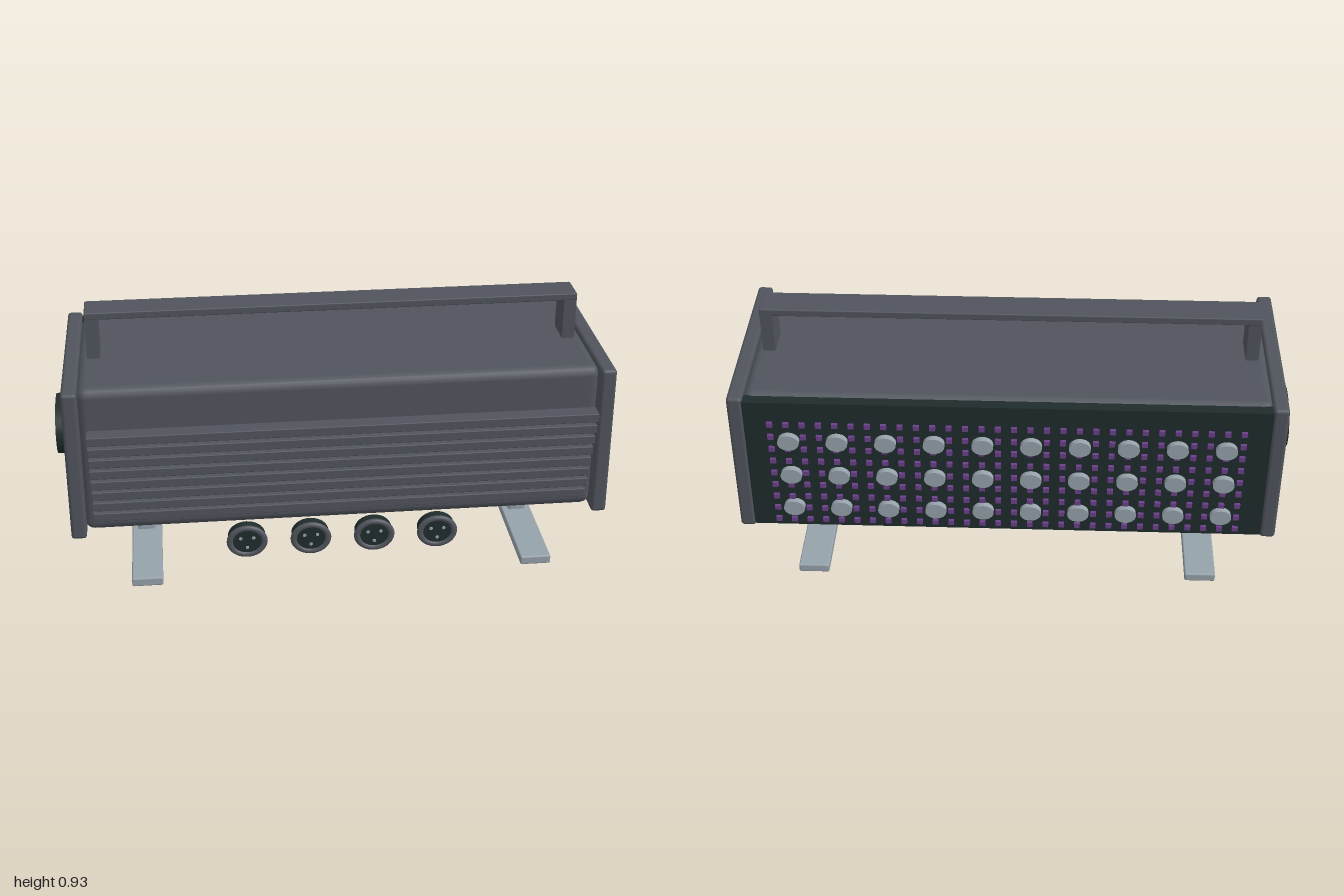
import * as THREE from 'three';
import { RoundedBoxGeometry } from 'three/addons/geometries/RoundedBoxGeometry.js';

const material = (name, color, extra = {}) => {
  const m = new THREE.MeshStandardMaterial({ color, ...extra });
  m.name = name;
  return m;
};

export function createModel() {
  const model = new THREE.Group();
  model.name = 'floodLight';
  const casing = material('casingGrey', 0x50545c);
  const dark = material('darkGreen', 0x202c2c);
  const steel = material('paleSteel', 0x96a2aa);
  const purple = material('purple', 0x6c3f8c);

  const add = (parent, name, geometry, mat, x, y, z) => {
    const mesh = new THREE.Mesh(geometry, mat);
    mesh.name = name;
    mesh.position.set(x, y, z);
    parent.add(mesh);
    return mesh;
  };
  // Box given by its lower and upper corners, with optional rounded edges
  const box = (parent, name, mat, [x0, x1], [y0, y1], [z0, z1], r = 0) => {
    const s = [x1 - x0, y1 - y0, z1 - z0];
    const g = r ? new RoundedBoxGeometry(...s, 2, r) : new THREE.BoxGeometry(...s);
    return add(parent, name, g, mat, (x0 + x1) / 2, (y0 + y1) / 2, (z0 + z1) / 2);
  };
  // Oval disc facing along z
  const oval = (rx, ry, depth, sides = 32) =>
    new THREE.CylinderGeometry(1, 1, depth, sides).rotateX(Math.PI / 2).scale(rx, ry, 1);

  // Housing and rear panel
  box(model, 'housing', casing, [-0.91, 0.91], [0.205, 0.757], [-0.345, 0.3], 0.035);
  box(model, 'rearPanel', dark, [-0.905, 0.905], [0.21, 0.748], [-0.373, -0.33]);

  // End plates, side knobs, handle posts and legs, mirrored
  for (const s of [-1, 1]) {
    const span = (a, b) => (s > 0 ? [a, b] : [-b, -a]);
    const side = s > 0 ? 'left' : 'right';
    box(model, side + 'EndPlate', casing, span(0.903, 0.957), [0.2, 0.763], [-0.377, 0.342], 0.012);
    const knob = new THREE.CylinderGeometry(1, 1, 0.05, 40).rotateZ(Math.PI / 2).scale(1, 0.102, 0.135);
    add(model, side + 'Knob', knob, dark, s * 0.975, 0.481, -0.018);
    box(model, side + 'HandlePost', casing, span(0.83, 0.875), [0.74, 0.91], [-0.073, 0.04]);
    box(model, side + 'Leg', steel, span(0.668, 0.733), [0.003, 0.22], [-0.073, 0.04], 0.01);
    box(model, side + 'Foot', steel, span(0.645, 0.755), [0.017, 0.05], [-0.415, 0.382], 0.006);
  }
  box(model, 'handleBar', casing, [-0.876, 0.876], [0.904, 0.93], [-0.074, 0.041], 0.004);

  // Front fins, stepping back towards the bottom
  const fins = new THREE.Group();
  fins.name = 'coolingFins';
  model.add(fins);
  for (let i = 0; i < 8; i++) {
    const y = 0.631 - i * 0.05;
    const z = 0.44 - i * 0.0145;
    box(fins, 'fin', casing, [-0.876, 0.876], [y - 0.016, y + 0.016], [z - 0.058, z], 0.003);
  }

  // Cable sockets with rim and three pins
  const rim = new THREE.TorusGeometry(0.053, 0.01, 10, 36).scale(1.16, 1, 1);
  for (let i = 0; i < 4; i++) {
    const socket = new THREE.Group();
    socket.name = 'socket';
    socket.position.set(-0.342 + i * 0.2275, 0.158, 0);
    model.add(socket);
    add(socket, 'socketBody', oval(0.067, 0.057, 0.046), dark, 0, 0, 0.325);
    add(socket, 'socketRim', rim, casing, 0, 0, 0.345);
    for (const [x, y] of [[-0.023, 0.015], [0.023, 0.015], [0, -0.022]])
      add(socket, 'pin', oval(0.006, 0.005, 0.008, 10), steel, x, y, 0.35);
  }

  // Lamps in three rows of ten
  const lamps = new THREE.Group();
  lamps.name = 'lamps';
  model.add(lamps);
  const lamp = oval(0.037, 0.031, 0.022, 24);
  for (let i = 0; i < 10; i++)
    for (const y of [0.336, 0.48, 0.625])
      add(lamps, 'lamp', lamp, steel, -0.75 + i * 0.1661, y, -0.426);

  // Grid of small diodes between the lamps
  const diodes = new THREE.Group();
  diodes.name = 'diodes';
  model.add(diodes);
  const diode = new THREE.BoxGeometry(0.02, 0.018, 0.011);
  for (let i = 0; i < 30; i++)
    for (let j = 0; j < 9; j++)
      add(diodes, 'diode', diode, purple, -0.806 + i * 0.0556, 0.273 + j * 0.0521, -0.417);

  return model;
}
